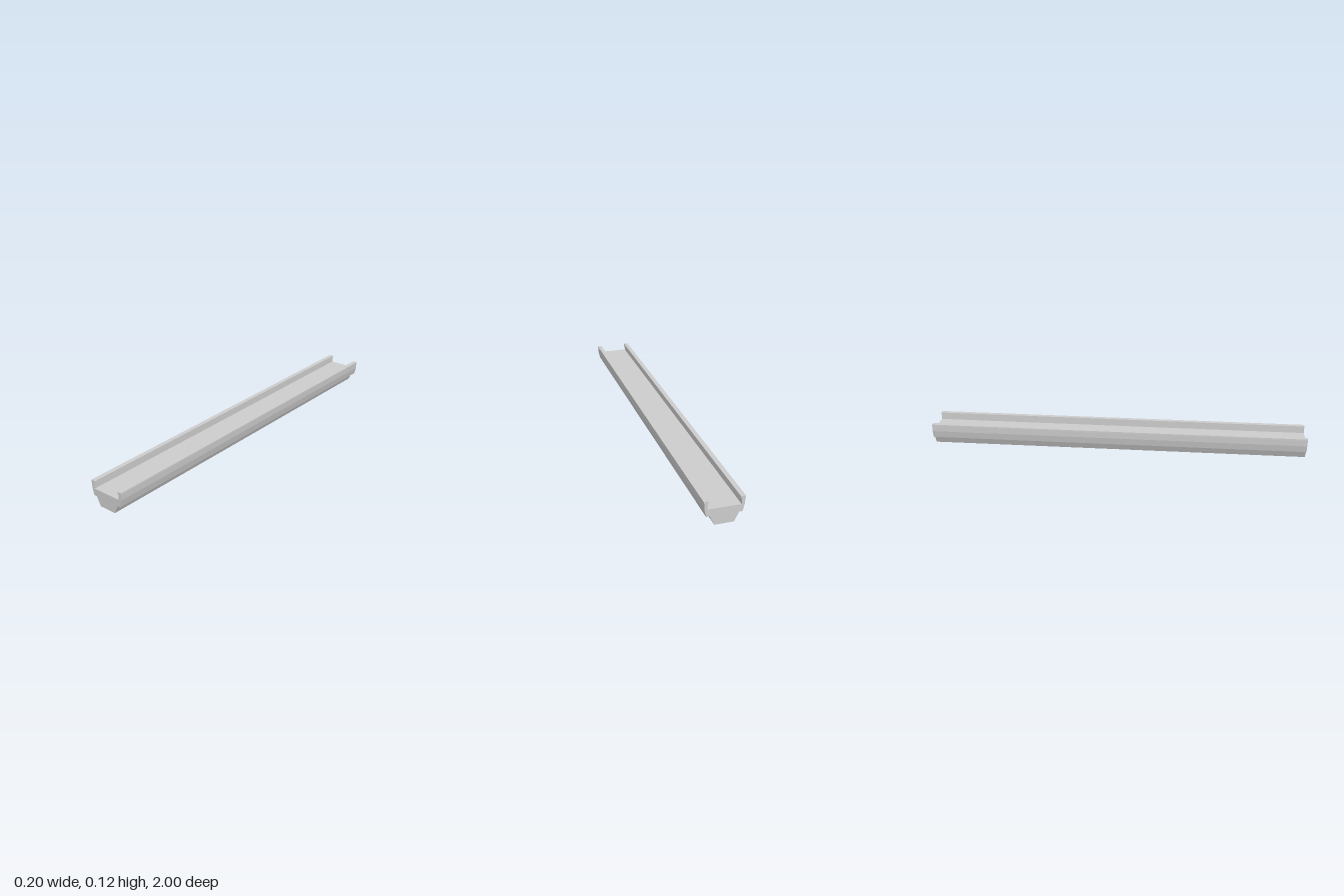
import * as THREE from 'three';

const LENGTH = 2;

// Right half of the cross-section, from the underside up and over to the channel floor
const HALF_PROFILE = [
  [0.0465, 0],      // underside
  [0.069, 0.0465],  // top of sloping web
  [0.0855, 0.0465], // shoulder
  [0.0945, 0.084],  // outer wall
  [0.0960, 0.115],
  [0.0980, 0.115],  // lip
  [0.0980, 0.124],
  [0.0745, 0.124],
  [0.0745, 0.115],
  [0.0795, 0.115],  // inner wall
  [0.0795, 0.0835], // channel floor
];

export function createModel() {
  const group = new THREE.Group();
  group.name = 'channelBeam';

  // Mirror the half profile into a closed outline
  const left = HALF_PROFILE.map(([x, y]) => [-x, y]).reverse();
  const outline = [...HALF_PROFILE, ...left].map(([x, y]) => new THREE.Vector2(x, y));

  // Extrude the section along z, centred
  const geometry = new THREE.ExtrudeGeometry(new THREE.Shape(outline), {
    depth: LENGTH,
    bevelEnabled: false,
  });
  geometry.translate(0, 0, -LENGTH / 2);

  const beam = new THREE.Mesh(
    geometry,
    new THREE.MeshStandardMaterial({ color: 0xcccccc, flatShading: true })
  );
  beam.name = 'beam';
  group.add(beam);
  return group;
}
